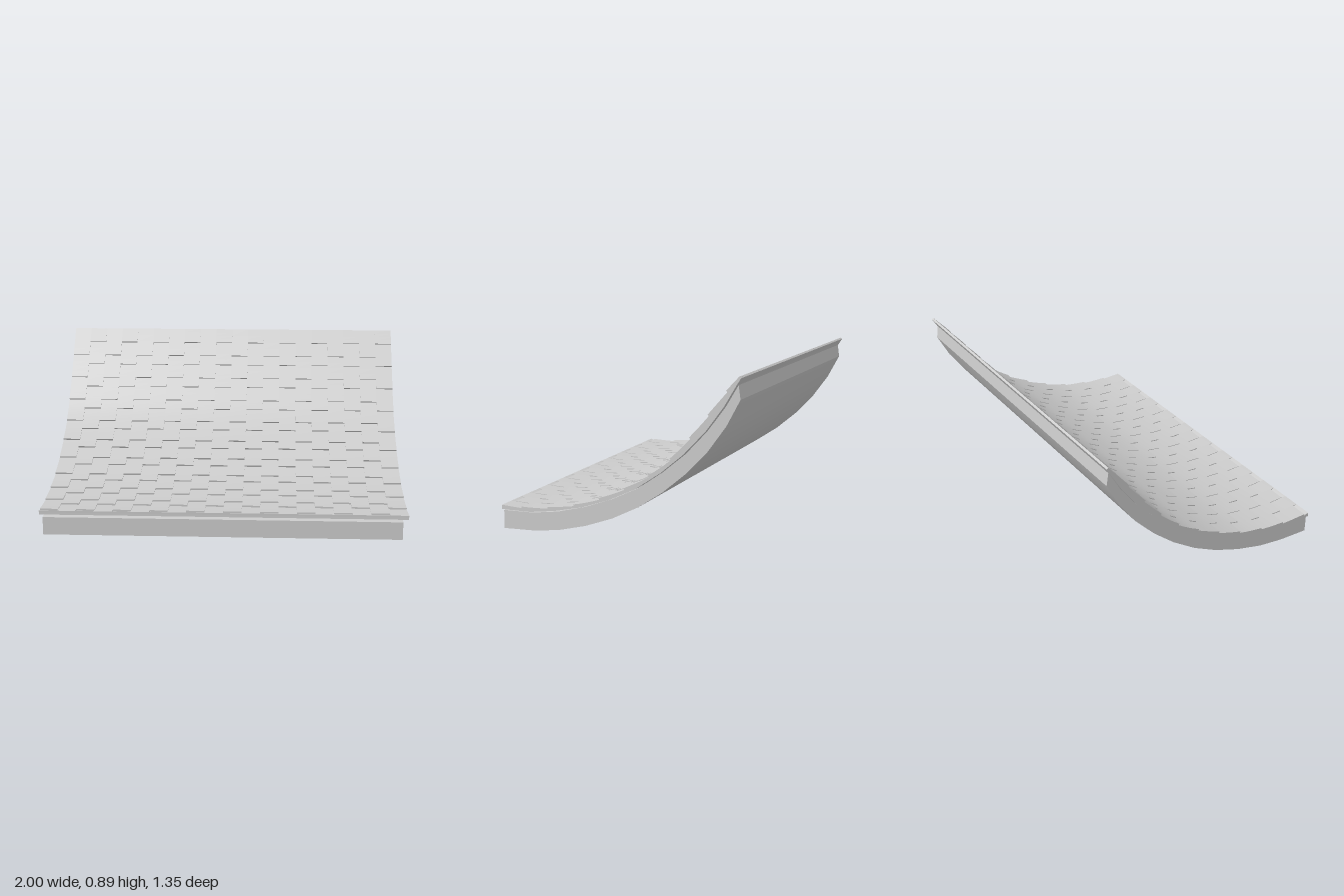
import * as THREE from 'three';
import { toCreasedNormals } from 'three/addons/utils/BufferGeometryUtils.js';

const material = new THREE.MeshStandardMaterial({ color: 0xcccccc });

// Sweep a closed (z, y) outline sideways from x0 to x1.
function sweep(outline, x0, x1, name) {
  const shape = new THREE.Shape(outline.map(([z, y]) => new THREE.Vector2(z, y)));
  const geo = new THREE.ExtrudeGeometry(shape, { depth: x1 - x0, bevelEnabled: false });
  geo.rotateY(-Math.PI / 2).translate(x1, 0, 0);
  const mesh = new THREE.Mesh(toCreasedNormals(geo, 0.3), material);
  mesh.name = name;
  return mesh;
}

export function createModel() {
  const roof = new THREE.Group();
  roof.name = 'curvedRoof';

  // Thick supporting slab under the shingles
  const slabBottom = [[0.675, 0], [0.5, 0.004], [0.35, 0.021], [0.19, 0.06], [0.035, 0.115], [-0.11, 0.187],
    [-0.25, 0.28], [-0.375, 0.385], [-0.49, 0.505], [-0.588, 0.64], [-0.66, 0.775]];
  const slabTop = [[0.675, 0.1], [0.5, 0.102], [0.35, 0.122], [0.19, 0.162], [0.035, 0.217], [-0.11, 0.287],
    [-0.25, 0.383], [-0.375, 0.487], [-0.49, 0.61], [-0.585, 0.737], [-0.65, 0.847]];
  roof.add(sweep([...slabBottom, ...slabTop.reverse()], -0.98, 0.97, 'supportSlab'));

  // Roof curve, running from the high rear edge down to the front
  const curve = new THREE.CatmullRomCurve3([[-0.657, 0.897], [-0.538, 0.742], [-0.43, 0.605], [-0.296, 0.456],
    [-0.18, 0.364], [-0.07, 0.3], [0.04, 0.246], [0.2, 0.187], [0.35, 0.155], [0.5, 0.138], [0.67, 0.134]]
    .map(([z, y]) => new THREE.Vector3(0, y, z)));
  const length = curve.getLength();

  // Point on the curve at a distance from the rear edge, lifted along the normal
  function at(distance, lift) {
    const u = Math.min(distance / length, 1);
    const p = curve.getPointAt(u);
    const t = curve.getTangentAt(u);
    return [p.z - t.y * lift, p.y + t.z * lift];
  }

  // Thin backing layer carrying the shingles
  const upper = [];
  for (let i = 0; i <= 24; i++) upper.push(at((i / 24) * length, -0.009));
  const under = [[0.67, 0.113], [0.5, 0.113], [0.35, 0.133], [0.19, 0.168], [0.035, 0.221], [-0.11, 0.29],
    [-0.25, 0.385], [-0.375, 0.49], [-0.49, 0.612], [-0.585, 0.74], [-0.65, 0.85], [-0.672, 0.885]];
  roof.add(sweep([...upper, ...under], -1, 1, 'backingLayer'));

  // One wedge shingle, flush at its upper end and raised at its butt
  function shingle(start, end, x0) {
    const top = [], bottom = [];
    for (let i = 0; i <= 4; i++) {
      const d = start + ((end - start) * i) / 4;
      top.push(at(d, -0.007 + (0.009 * i) / 4));
      bottom.unshift(at(d, -0.012));
    }
    return sweep([...bottom, ...top], x0, x0 + 0.1, 'shingle');
  }

  // Courses of shingles; every other column hangs lower
  const shingles = new THREE.Group();
  shingles.name = 'shingles';
  const pitch = 0.155, columns = 20;
  for (let c = 0; c < columns; c++) {
    const firstButt = c % 2 === 0 ? 0.19 : 0.098;
    for (let start = 0, butt = firstButt; start < length - 0.01; start = butt, butt += pitch) {
      shingles.add(shingle(start, Math.min(butt, length), -1 + c * 0.1));
    }
  }
  roof.add(shingles);
  return roof;
}
